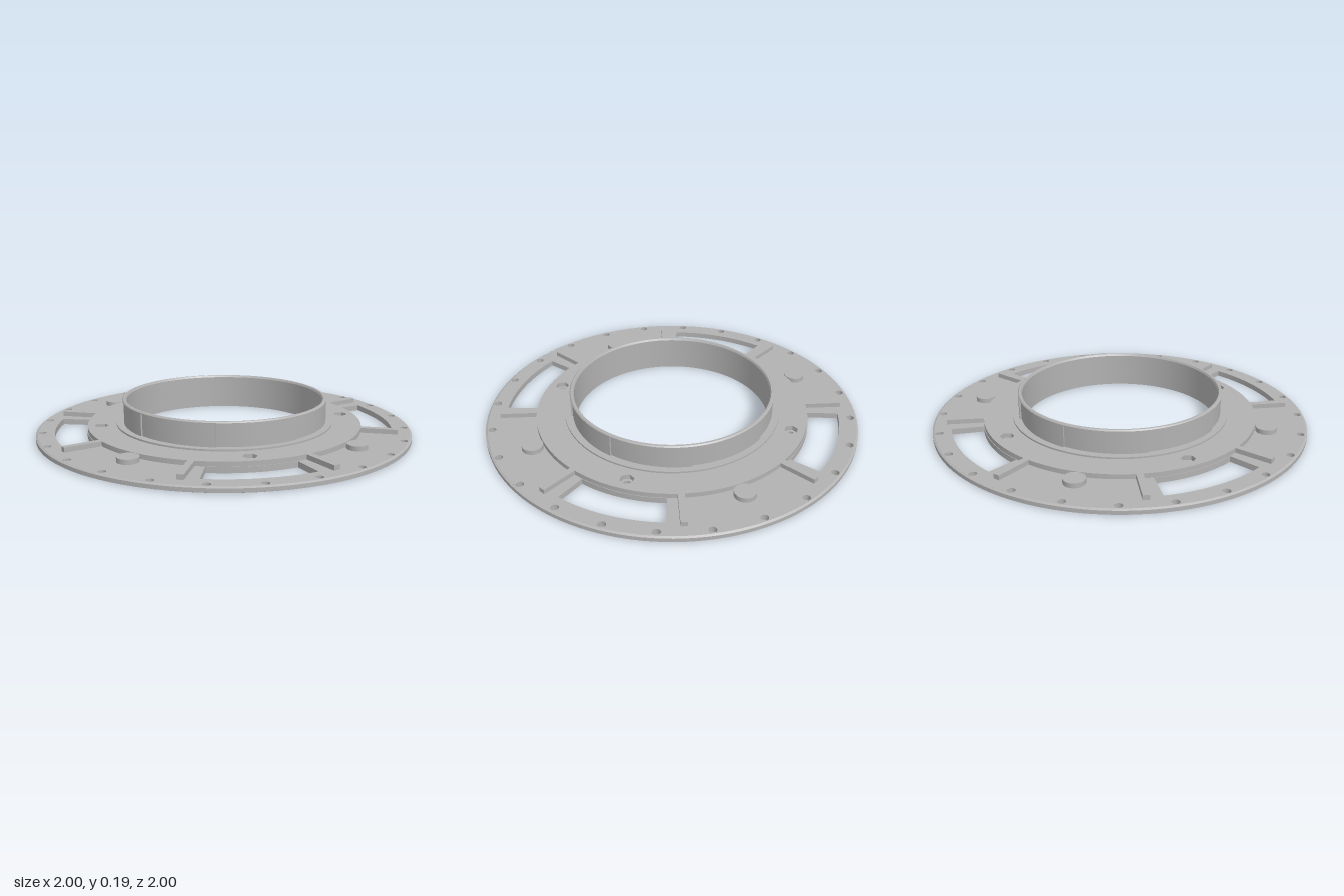
import * as THREE from 'three';
import { toCreasedNormals } from 'three/addons/utils/BufferGeometryUtils.js';

const BORE = 0.524;
const grey = new THREE.MeshStandardMaterial({ color: 0xb2b2b2 });
grey.name = 'plain grey';

// Closed circular outline, or a polygon when few sides are given
function ring(Type, x, y, r, sides = 20) {
  const pts = [];
  for (let i = 0; i < sides; i++) {
    const a = (i / sides) * Math.PI * 2;
    pts.push(new THREE.Vector2(x + r * Math.cos(a), y + r * Math.sin(a)));
  }
  return new Type(pts);
}

// Curved window between two radii
function slot(angle, half, r0, r1) {
  const p = new THREE.Path();
  p.absarc(0, 0, r1, angle - half, angle + half, false);
  p.absarc(0, 0, r0, angle + half, angle - half, true);
  p.closePath();
  return p;
}

const polar = (r, a) => [r * Math.cos(a), r * Math.sin(a)];

export function createModel() {
  const model = new THREE.Group();
  model.name = 'flangedCollar';

  const add = (name, geometry) => {
    const mesh = new THREE.Mesh(geometry, grey);
    mesh.name = name;
    model.add(mesh);
    return mesh;
  };
  // Lays a flat outline down and raises it from y0 to y1
  const slab = (name, shape, y0, y1) => {
    const g = new THREE.ExtrudeGeometry(shape, { depth: y1 - y0, bevelEnabled: false, curveSegments: 24 });
    g.rotateX(-Math.PI / 2);
    g.translate(0, y0, 0);
    return add(name, toCreasedNormals(g, 0.4));
  };
  const lathe = (name, pts) => {
    const g = new THREE.LatheGeometry(pts.map(([x, y]) => new THREE.Vector2(x, y)), 128);
    return add(name, toCreasedNormals(g, 0.4));
  };

  // Base plate with rim holes, windows, bolt holes and hex pockets
  const plate = ring(THREE.Shape, 0, 0, 0.99, 144);
  plate.holes.push(ring(THREE.Path, 0, 0, BORE, 128));
  for (let i = 0; i < 24; i++) {
    plate.holes.push(ring(THREE.Path, ...polar(0.966, (i * Math.PI) / 12), 0.02));
  }
  for (let i = 0; i < 4; i++) {
    const a = (i * Math.PI) / 2;
    plate.holes.push(slot(a, 0.302, 0.735, 0.902));
    plate.holes.push(ring(THREE.Path, ...polar(0.66, a), 0.018));
    plate.holes.push(ring(THREE.Path, ...polar(0.79, a + Math.PI / 4), 0.034, 6));
  }
  slab('basePlate', plate, 0, 0.03);

  // Chamfered outer rim
  lathe('plateRim', [[0.99, 0], [1, 0.004], [1, 0.024], [0.99, 0.03]]);

  // Raised hub with hexagonal nut seats
  const hub = ring(THREE.Shape, 0, 0, 0.732, 128);
  hub.holes.push(ring(THREE.Path, 0, 0, BORE, 128));
  for (let i = 0; i < 4; i++) {
    hub.holes.push(ring(THREE.Path, ...polar(0.66, (i * Math.PI) / 2), 0.037, 6));
  }
  slab('hub', hub, 0.03, 0.055);

  // Low step round the collar
  const step = ring(THREE.Shape, 0, 0, 0.58, 128);
  step.holes.push(ring(THREE.Path, 0, 0, BORE, 128));
  slab('collarStep', step, 0.055, 0.064);

  // Collar wall with eight shallow ramps, each ending in a small step
  const wall = [];
  for (let k = 0; k < 8; k++) {
    for (let j = 0; j <= 16; j++) {
      const a = Math.PI / 6 + ((k + j / 16) * Math.PI) / 4;
      wall.push(new THREE.Vector2(...polar(0.538 + (0.009 * j) / 16, a)));
    }
  }
  const collar = new THREE.Shape(wall);
  collar.holes.push(ring(THREE.Path, 0, 0, BORE, 128));
  slab('collarWall', collar, 0.064, 0.18);

  // Chamfered lip on top of the collar
  lathe('collarLip', [[BORE, 0.18], [0.547, 0.18], [0.547, 0.184], [0.541, 0.19], [0.53, 0.19], [BORE, 0.18]]);

  // Ribs beside the windows and round pads between them
  for (let i = 0; i < 8; i++) {
    const rib = add('rib', new THREE.BoxGeometry(0.205, 0.025, 0.034));
    const a = ((i + 0.5) * Math.PI) / 4;
    rib.position.set(0.825 * Math.cos(a), 0.0425, -0.825 * Math.sin(a));
    rib.rotation.y = a;
  }
  for (let i = 0; i < 4; i++) {
    const [x, z] = polar(0.79, ((i + 0.5) * Math.PI) / 2);
    const pad = add('pad', new THREE.CylinderGeometry(0.055, 0.055, 0.025, 40));
    pad.position.set(x, 0.0425, z);
  }
  return model;
}
